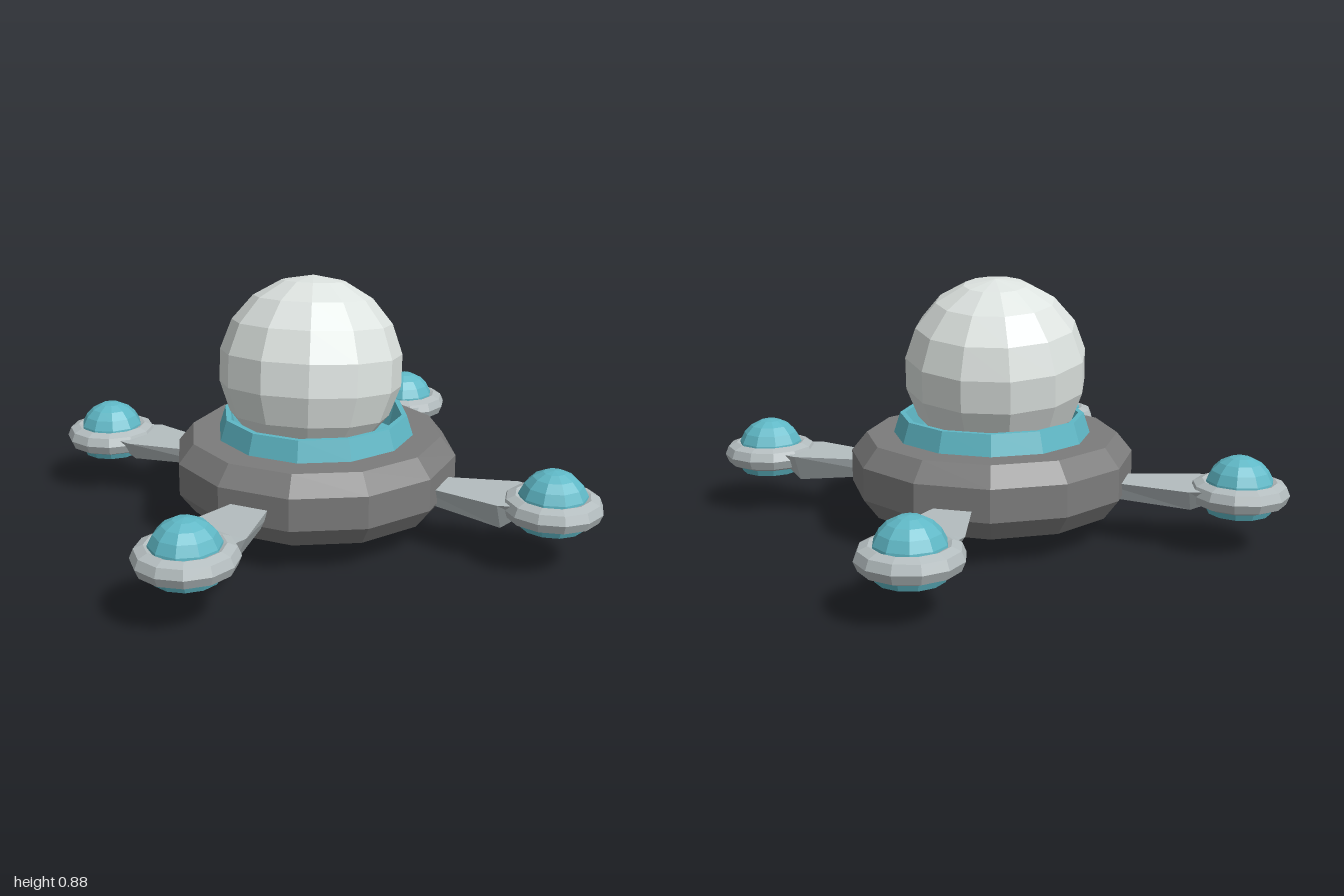
import * as THREE from 'three';

const paint = (color) => new THREE.MeshStandardMaterial({ color, flatShading: true, side: THREE.DoubleSide });
const grey = paint(0x7c7c7c);
const pale = paint(0xdde3e0);
const silver = paint(0xb4bdbf);
const cyan = paint(0x5fb8c6);
const yellow = paint(0xb5a020);

function add(parent, name, geometry, material, x = 0, y = 0, z = 0) {
  const mesh = new THREE.Mesh(geometry, material);
  mesh.name = name;
  mesh.position.set(x, y, z);
  parent.add(mesh);
  return mesh;
}

function lathe(points, sides = 12) {
  return new THREE.LatheGeometry(points.map(([r, y]) => new THREE.Vector2(r, y)), sides);
}

// Tapered arm along +z: each section is [z, half width, bottom, top]
function armGeometry(sections) {
  const pos = [];
  const index = [];
  for (const [z, w, lo, hi] of sections) {
    pos.push(-w * 0.6, lo, z, w * 0.6, lo, z, w, hi, z, -w, hi, z);
  }
  for (let s = 0; s < sections.length - 1; s++) {
    for (let i = 0; i < 4; i++) {
      const a = s * 4 + i, b = s * 4 + (i + 1) % 4;
      index.push(a, b, b + 4, a, b + 4, a + 4);
    }
  }
  const e = (sections.length - 1) * 4;
  index.push(0, 2, 1, 0, 3, 2, e, e + 1, e + 2, e, e + 2, e + 3);
  // Corners run anticlockwise seen from +z, so the side faces point outward
  const g = new THREE.BufferGeometry();
  g.setAttribute('position', new THREE.Float32BufferAttribute(pos, 3));
  g.setIndex(index);
  g.computeVertexNormals();
  return g;
}

function makePod() {
  const pod = new THREE.Group();
  pod.name = 'pod';
  const ring = add(pod, 'podRing', new THREE.TorusGeometry(0.123, 0.042, 8, 12), silver);
  ring.rotation.x = Math.PI / 2;
  // Dome above, hollow cup below
  add(pod, 'podDome', new THREE.SphereGeometry(0.117, 10, 5, 0, Math.PI * 2, 0, Math.PI / 2), cyan, 0, 0.008, 0);
  add(pod, 'podCup', lathe([[0, -0.035], [0.075, -0.035], [0.105, -0.066], [0.118, -0.035], [0.118, 0.01]]), cyan);
  const lamp = add(pod, 'podLamp', new THREE.SphereGeometry(0.05, 10, 6), yellow, 0, -0.045, 0);
  lamp.scale.y = 0.85;
  return pod;
}

export function createModel() {
  const model = new THREE.Group();
  model.name = 'flyingSaucer';
  const hull = new THREE.Group();
  hull.name = 'hull';
  hull.position.z = 0.01;
  model.add(hull);

  // Thick twelve-sided ring
  add(hull, 'hullRing', lathe([
    [0.3, 0.095], [0.435, 0.095], [0.488, 0.165], [0.488, 0.275], [0.435, 0.34], [0.3, 0.34],
  ]), grey);

  // Core with a recessed underside and a collar around the dome
  add(hull, 'core', lathe([
    [0, 0.1], [0.1, 0.1], [0.23, 0.115], [0.315, 0.055], [0.335, 0.1],
    [0.34, 0.34], [0.318, 0.41], [0.3, 0.41], [0.28, 0.32], [0.1, 0.3],
  ]), cyan);

  const belly = add(hull, 'bellyLamp', new THREE.SphereGeometry(0.115, 12, 8), yellow, 0, 0.09, 0);
  belly.scale.y = 0.09 / 0.115;

  // Slightly leaning ball on top
  const dome = add(hull, 'dome', new THREE.SphereGeometry(0.316, 12, 9), pale, -0.011, 0.565, 0.01);
  dome.rotation.set(-0.13, 0.15, 0.06);

  // Four arms with pods: [x, pod height, z, arm depth]
  const pods = [
    [0.825, 0.205, -0.195, 0.075],
    [0.195, 0.21, 0.835, 0.075],
    [-0.83, 0.195, 0.215, 0.053],
    [-0.23, 0.185, -0.835, 0.055],
  ];
  for (const [x, y, z, depth] of pods) {
    const pod = makePod();
    pod.position.set(x, y, z);
    pod.rotation.y = Math.atan2(x, z);
    model.add(pod);
    const end = Math.hypot(x, z - 0.01);
    const arm = add(model, 'arm', armGeometry([
      [0.36, 0.04, -0.045, 0.012],
      [end - 0.15, 0.118, -depth, 0.02],
      [end - 0.09, 0.1, -0.03, 0.02],
    ]), silver, 0, y, 0.01);
    arm.rotation.y = Math.atan2(x, z - 0.01);
  }
  return model;
}
